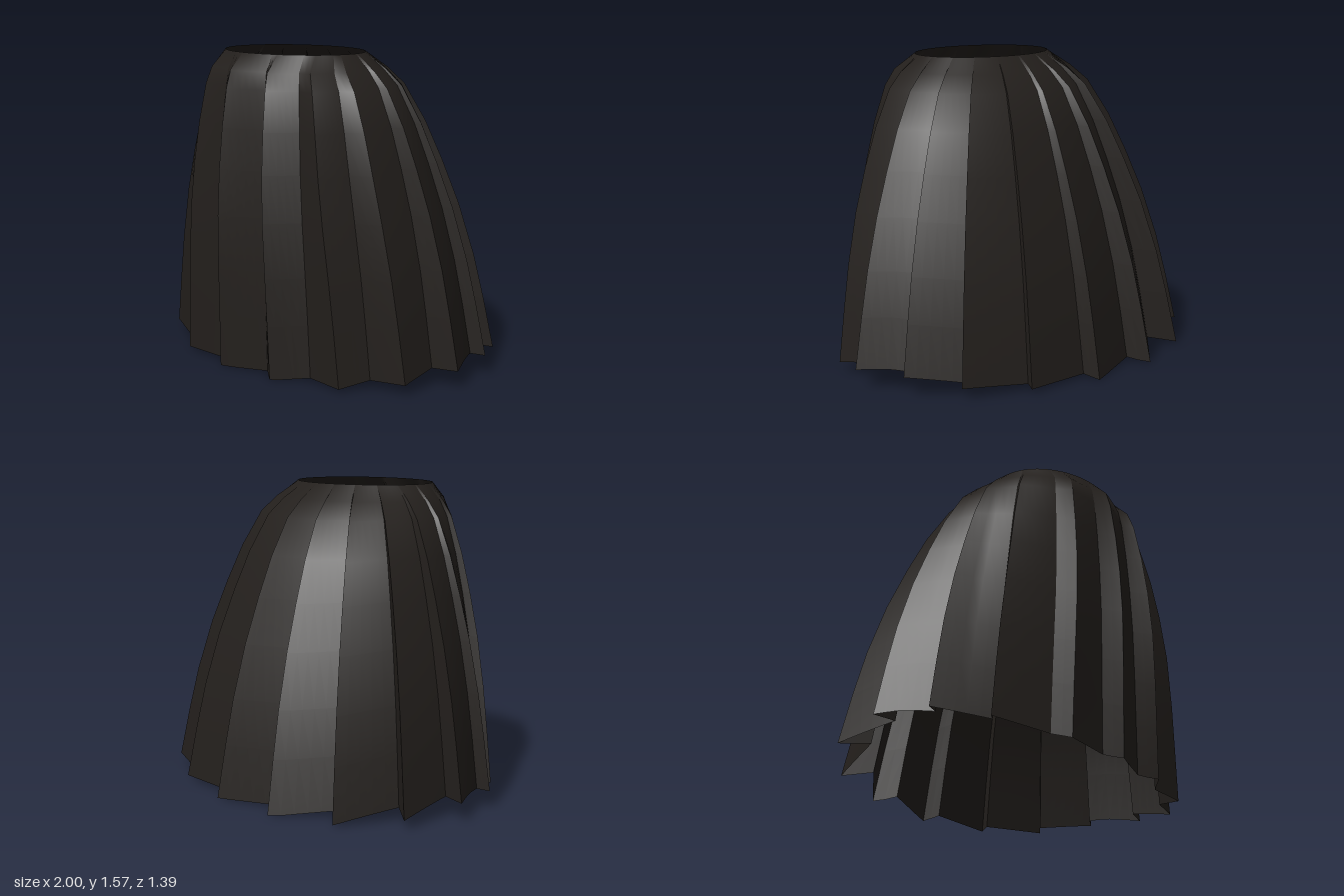
import * as THREE from 'three';
import { mergeGeometries } from 'three/addons/utils/BufferGeometryUtils.js';
import { ParametricGeometry } from 'three/addons/geometries/ParametricGeometry.js';

// Waist opening: a small ellipse set towards the front
const WAIST = { y: 1.57, x: -0.01, z: 0.24, rx: 0.395, rz: 0.3 };

// Hem of each knife pleat, going round the skirt: inner fold x, z then outer tip x, z
const PLEATS = [
  [-0.52, -0.49, -0.26, -0.695], [-0.21, -0.58, 0.14, -0.67],
  [0.155, -0.58, 0.52, -0.55], [0.49, -0.50, 0.81, -0.36],
  [0.75, -0.32, 0.95, -0.11], [0.88, -0.08, 1.0, 0.17],
  [0.865, 0.20, 0.88, 0.415], [0.69, 0.45, 0.62, 0.595],
  [0.41, 0.57, 0.24, 0.68], [0.155, 0.61, -0.11, 0.68],
  [-0.18, 0.605, -0.44, 0.595], [-0.50, 0.515, -0.78, 0.375],
  [-0.73, 0.35, -0.95, 0.155], [-0.88, 0.14, -1.0, -0.12],
  [-0.875, -0.09, -0.895, -0.41], [-0.77, -0.31, -0.62, -0.61],
];

// Drape: fraction of the way from waist to hem outline at each drop
const DROP = [0, 0.053, 0.107, 0.23, 0.36, 0.507, 0.68, 0.83, 1];
const FLARE = [0, 0.17, 0.3, 0.46, 0.59, 0.72, 0.84, 0.92, 1];
const FRONT = [0, 0.54, 0.71, 0.9, 1.03, 1.1, 1.08, 1.04, 1];

function sample(table, v) {
  const f = v * (table.length - 1);
  const i = Math.min(Math.floor(f), table.length - 2);
  return THREE.MathUtils.lerp(table[i], table[i + 1], f - i);
}

// One strip of cloth hanging from the waist to a straight piece of hem
function panel(x0, z0, x1, z1, slices) {
  const { lerp } = THREE.MathUtils;
  return new ParametricGeometry((u, v, target) => {
    const hx = lerp(x0, x1, u);
    const hz = lerp(z0, z1, u);
    const hy = 0.11 - 0.105 * Math.min(1, Math.pow(Math.abs(hz) / 0.66, 1.3));
    const a = Math.atan2((hz - WAIST.z) / WAIST.rz, (hx - WAIST.x) / WAIST.rx);
    const wx = WAIST.x + WAIST.rx * Math.cos(a);
    const wz = WAIST.z + WAIST.rz * Math.sin(a);
    target.set(
      lerp(wx, hx, sample(FLARE, v)),
      lerp(WAIST.y, hy, sample(DROP, v)),
      lerp(wz, hz, sample(hz > WAIST.z ? FRONT : FLARE, v))
    );
  }, slices, DROP.length - 1);
}

export function createModel() {
  const skirt = new THREE.Group();
  skirt.name = 'pleatedSkirt';
  const cloth = new THREE.MeshStandardMaterial({ color: 0x231f1c, side: THREE.DoubleSide });

  const faces = [];
  const folds = [];
  PLEATS.forEach(([nx, nz, tx, tz], i) => {
    const [mx, mz] = PLEATS[(i + 1) % PLEATS.length];
    faces.push(panel(nx, nz, tx, tz, 5)); // broad outer face
    folds.push(panel(tx, tz, mx, mz, 2)); // return under the next pleat
  });

  for (const [name, parts] of [['pleatFaces', faces], ['pleatFolds', folds]]) {
    const mesh = new THREE.Mesh(mergeGeometries(parts), cloth);
    mesh.name = name;
    skirt.add(mesh);
  }
  return skirt;
}
